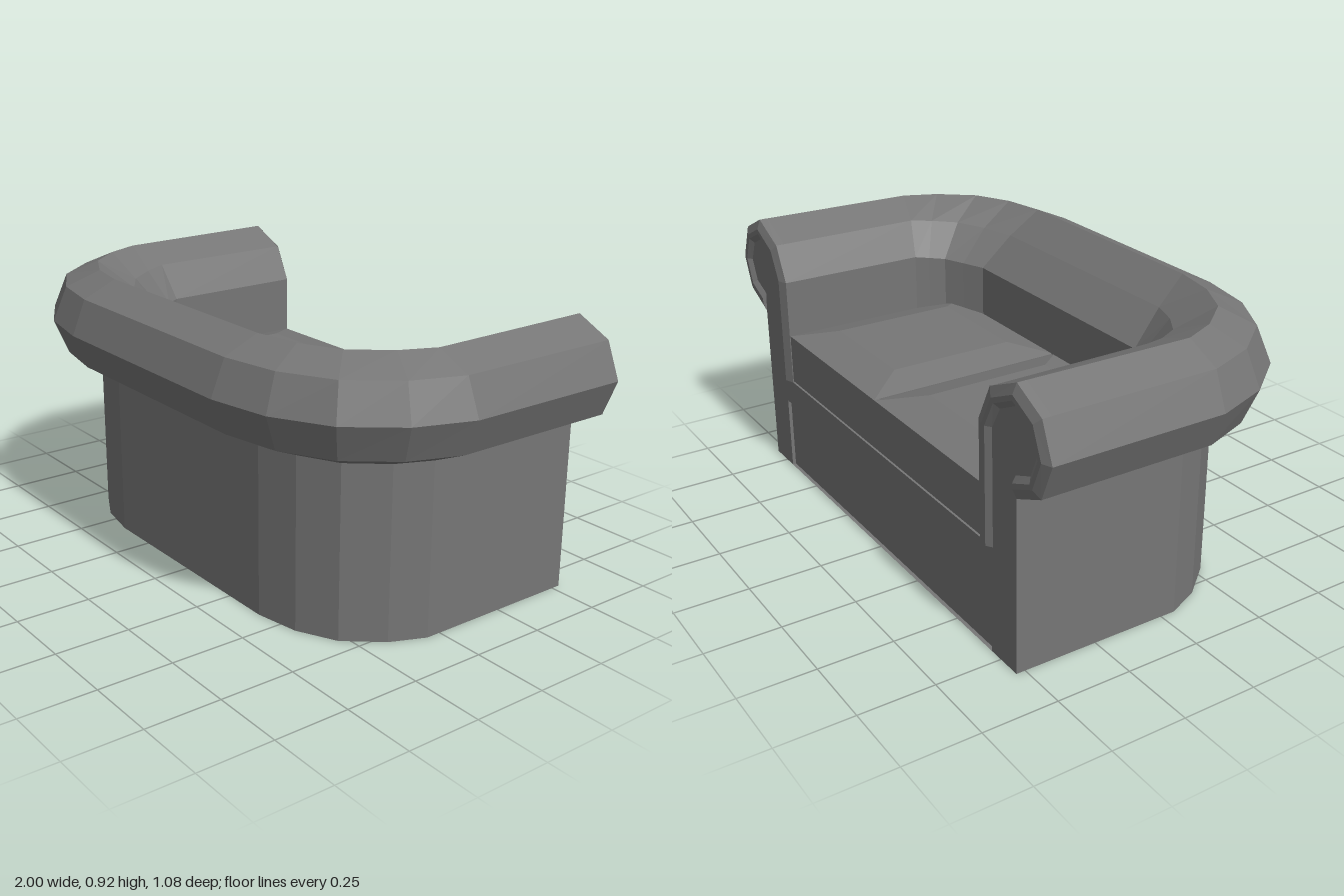
import * as THREE from 'three';

const material = new THREE.MeshStandardMaterial({ color: 0x767676, flatShading: true, side: THREE.DoubleSide });

function add(parent, name, geometry) {
  const mesh = new THREE.Mesh(geometry, material);
  mesh.name = name;
  parent.add(mesh);
  return mesh;
}

// Skin over rows of [x, y, z] points; faces look along (row direction) x (next row).
function loft(rows) {
  const n = rows[0].length, index = [];
  for (let i = 0; i < rows.length - 1; i++) {
    for (let j = 0; j < n - 1; j++) {
      const a = i * n + j, b = a + n;
      index.push(a, a + 1, b, a + 1, b + 1, b);
    }
  }
  const geometry = new THREE.BufferGeometry();
  geometry.setAttribute('position', new THREE.Float32BufferAttribute(rows.flat(2), 3));
  geometry.setIndex(index);
  const flat = geometry.toNonIndexed();
  flat.computeVertexNormals();
  return flat;
}

const FRONT = -0.53;
const lerp = THREE.MathUtils.lerp;

// Plan of one half: ridge point, inner wall point, outward angle, blend from arm to back
const plan = [
  { ridge: [0.833, FRONT], inner: [0.64, FRONT], angle: 0, t: 0, top: 0.92 },
  { ridge: [0.833, 0.05], inner: [0.637, -0.015], angle: 0, t: 0, top: 0.915 },
  { ridge: [0.783, 0.165], inner: [0.615, 0.03], angle: 26, t: 0.25, top: 0.915 },
  { ridge: [0.688, 0.28], inner: [0.585, 0.08], angle: 45, t: 0.5, top: 0.915 },
  { ridge: [0.56, 0.345], inner: [0.52, 0.12], angle: 68, t: 0.75, top: 0.915 },
  { ridge: [0.41, 0.373], inner: [0.45, 0.16], angle: 90, t: 1, top: 0.915 },
];

// Cross-section: outer wall, rolled top, inner wall
function section({ ridge, inner, angle, t, top }) {
  const a = THREE.MathUtils.degToRad(angle);
  const out = (d, y) => [ridge[0] + d * Math.cos(a), y, ridge[1] + d * Math.sin(a)];
  const k = lerp(0.68, 0.5, t);
  return [
    out(0, 0), out(0, 0.575), out(0.118, 0.627), out(0.167, 0.745), out(0.118, 0.863), out(0, top),
    [lerp(ridge[0], inner[0], k), lerp(0.86, 0.83, t), lerp(ridge[1], inner[1], k)],
    [inner[0], lerp(0.74, 0.72, t), inner[1]],
    [inner[0], 0.3, inner[1]],
  ];
}

// Front end of an arm, outlined to meet the wrap
function armFront(s) {
  const profile = section(plan[0]).slice(0, 8).map(([x, y]) => [x, y]);
  const points = [[0.7, 0], ...profile, [0.64, 0.265], [0.7, 0.265]];
  const shape = new THREE.Shape(points.map(([x, y]) => new THREE.Vector2(s * x, y)));
  return new THREE.ExtrudeGeometry(shape, { depth: 0.03, bevelEnabled: false }).translate(0, 0, FRONT);
}

// Raised bevelled border around the scroll of an arm
function armTrim(s) {
  const path = [
    [0.64, 0.36], [0.64, 0.74], [0.7, 0.86], [0.833, 0.92],
    [0.951, 0.863], [1, 0.745], [0.951, 0.627], [0.833, 0.575],
  ];
  const steps = [[0, FRONT], [0.033, -0.543], [0.05, -0.543], [0.07, FRONT]];
  const rows = path.map(([x, y], i) => steps.map(([d, z]) => {
    const dx = i < 2 ? 1 : 0.82 - x, dy = i < 2 ? 0 : 0.745 - y;
    const length = Math.hypot(dx, dy);
    return [s * (x + d * dx / length), y + d * dy / length, z];
  }));
  // Close both ends back onto the arm
  const flatten = (row) => row.map(([x, y]) => [x, y, FRONT]);
  const closed = [flatten(rows[0]), ...rows, flatten(rows[rows.length - 1])];
  return loft(s > 0 ? closed.map((row) => row.reverse()) : closed);
}

// Cushion with a low crowned top
function cushion(x0, x1) {
  const ring = (inset, frontInset, y) => {
    const a = x0 + inset, b = x1 - inset, f = -0.526 + frontInset, r = 0.165 - inset;
    return [[b, y, r], [b, y, f], [a, y, f], [a, y, r], [b, y, r]];
  };
  const centre = Array(5).fill([(x0 + x1) / 2, 0.57, -0.17]);
  return loft([ring(0, 0, 0.365), ring(0, 0, 0.54), ring(0.115, 0.135, 0.57), centre]);
}

export function createModel() {
  const sofa = new THREE.Group();
  sofa.name = 'sofa';

  // Continuous arms and back, swept from one arm front round to the other
  const half = plan.map(section);
  const mirrored = half.map((row) => row.map(([x, y, z]) => [-x, y, z])).reverse();
  add(sofa, 'armsAndBack', loft([...half, ...mirrored]));

  // Underside
  const outline = [...half, ...mirrored].map((row) => new THREE.Vector2(row[0][0], row[0][2]));
  add(sofa, 'underside', new THREE.ShapeGeometry(new THREE.Shape(outline)).rotateX(Math.PI / 2));

  for (const s of [1, -1]) {
    const side = s > 0 ? 'left' : 'right';
    add(sofa, side + 'ArmFront', armFront(s));
    add(sofa, side + 'ArmTrim', armTrim(s));
    add(sofa, side + 'SeatCushion', cushion(s > 0 ? 0.003 : -0.638, s > 0 ? 0.638 : -0.003));
  }

  // Unbroken front band of the cushions
  add(sofa, 'cushionFront', new THREE.BoxGeometry(1.276, 0.174, 0.02)).position.set(0, 0.453, FRONT + 0.012);

  // Seat rail and deck under the cushions
  add(sofa, 'seatRail', new THREE.BoxGeometry(1.28, 0.095, 0.68)).position.set(0, 0.3125, FRONT + 0.34);

  // Lower front panel, set slightly back under the rail
  add(sofa, 'frontPanel', new THREE.BoxGeometry(1.4, 0.265, 0.02)).position.set(0, 0.1335, FRONT + 0.022);

  return sofa;
}
